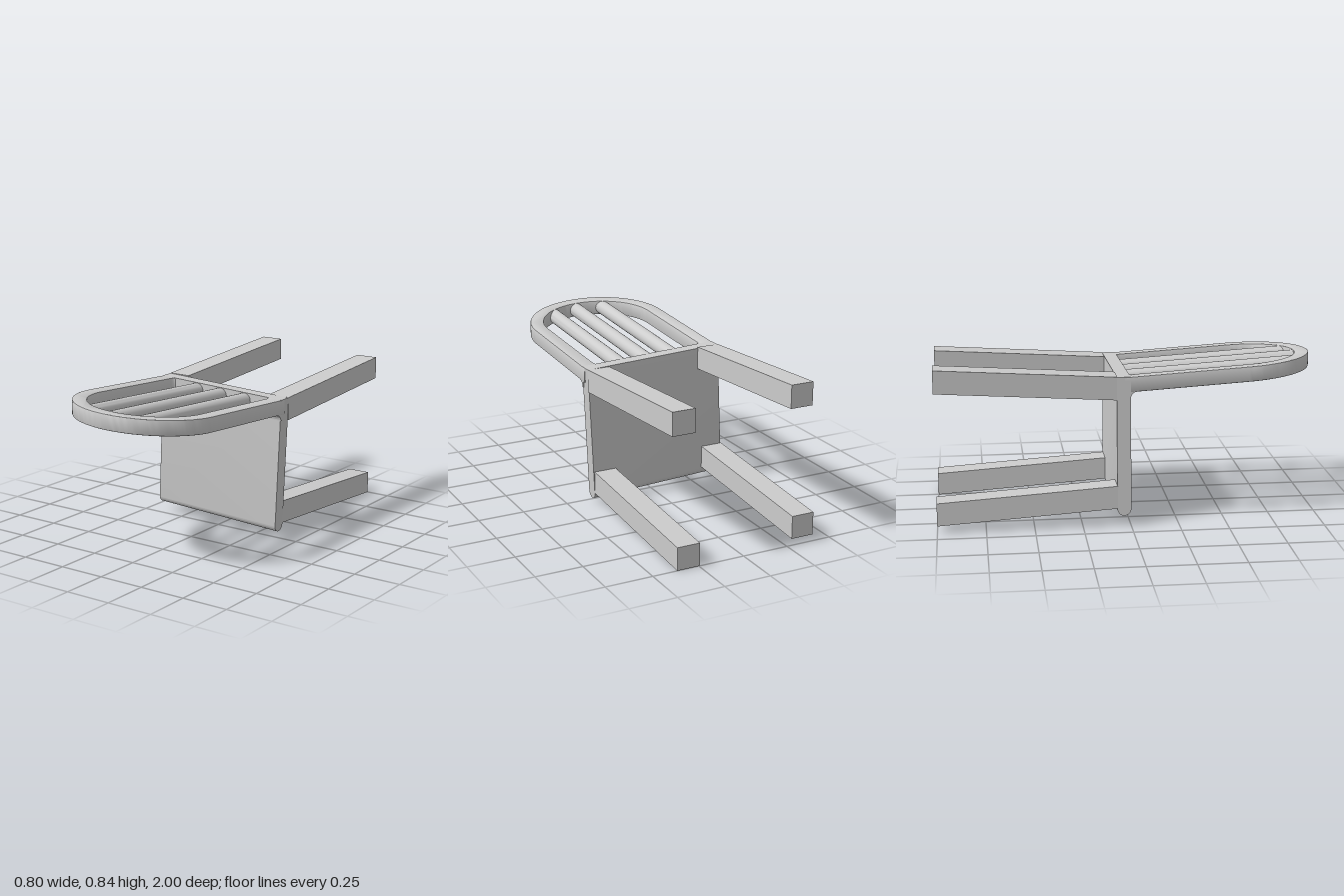
import * as THREE from 'three';
import { toCreasedNormals } from 'three/addons/utils/BufferGeometryUtils.js';

const material = new THREE.MeshStandardMaterial({ color: 0xcccccc });
const ROLL = -0.0455; // the whole chair leans slightly: y drops towards +x
const PITCH = 0.0625; // the backrest rises towards +z
const TOP = 0.7725;   // height of the seat's upper edge at x = 0
const CX = 0.015;     // middle of the backrest
const RAIL = 0.08;    // backrest thickness

// Move every vertex by a rule, then rebuild normals with sharp edges kept.
function bend(geometry, rule) {
  const p = geometry.attributes.position;
  const v = new THREE.Vector3();
  for (let i = 0; i < p.count; i++) {
    rule(v.fromBufferAttribute(p, i));
    p.setXYZ(i, v.x, v.y, v.z);
  }
  return toCreasedNormals(geometry, 0.6);
}

// Extrude a (z, y) profile along x, centred on x = 0.
function extrudeAcross(shape, width) {
  const g = new THREE.ExtrudeGeometry(shape, { depth: width, bevelEnabled: false, curveSegments: 12 });
  return g.translate(0, 0, -width / 2).rotateY(-Math.PI / 2);
}

const backrestTilt = (v) => { v.y += TOP + PITCH * v.z + ROLL * v.x; };

export function createModel() {
  const group = new THREE.Group();
  const add = (name, geometry) => {
    const mesh = new THREE.Mesh(geometry, material);
    mesh.name = name;
    group.add(mesh);
  };

  // Seat panel, standing upright, with a rounded lower edge
  const low = 0.0425, r = 0.036;
  const profile = new THREE.Shape();
  profile.moveTo(0, TOP);
  profile.lineTo(-2 * r, TOP);
  profile.lineTo(-2 * r, low + r);
  profile.absarc(-r, low + r, r, Math.PI, 2 * Math.PI, false);
  profile.closePath();
  add('seat', bend(extrudeAcross(profile, 0.768), (v) => {
    v.x += -0.0165 + 0.043 * (v.y - low);
    v.y += ROLL * v.x;
  }));

  // Backrest frame: a round-ended loop
  const outer = 0.385, inner = 0.31, arcZ = 0.613, c = 0.04;
  const loop = new THREE.Shape();
  loop.moveTo(CX - outer, -0.03);
  loop.lineTo(CX + outer, -0.03);
  loop.lineTo(CX + outer, arcZ);
  loop.absarc(CX, arcZ, outer, 0, Math.PI, false);
  loop.closePath();
  const hole = new THREE.Path();
  hole.moveTo(CX - inner + c, -0.01);
  hole.lineTo(CX + inner - c, -0.01);
  hole.quadraticCurveTo(CX + inner, -0.01, CX + inner, -0.01 + c);
  hole.lineTo(CX + inner, arcZ);
  hole.absarc(CX, arcZ, inner, 0, Math.PI, false);
  hole.lineTo(CX - inner, -0.01 + c);
  hole.quadraticCurveTo(CX - inner, -0.01, CX - inner + c, -0.01);
  loop.holes.push(hole);
  const bevel = 0.006;
  const frame = new THREE.ExtrudeGeometry(loop, {
    depth: RAIL - 2 * bevel, bevelThickness: bevel, bevelSize: bevel,
    bevelOffset: -bevel, bevelSegments: 2, curveSegments: 32,
  });
  frame.translate(0, 0, bevel).rotateX(Math.PI / 2);
  add('backFrame', bend(frame, backrestTilt));

  // Three round spindles inside the frame
  for (const offset of [-0.153, 0, 0.153]) {
    const end = arcZ + Math.sqrt(0.345 ** 2 - offset ** 2);
    const rod = new THREE.CylinderGeometry(0.038, 0.038, end + 0.03, 24);
    rod.rotateX(Math.PI / 2).translate(CX + offset, -RAIL / 2, (end - 0.03) / 2);
    add('spindle', bend(rod, backrestTilt));
  }

  // Small concave fillets where the side rails meet the seat
  const f = 0.032;
  for (const side of [-1, 1]) {
    const s = new THREE.Shape();
    s.moveTo(-0.01, 0.01 - RAIL);
    s.lineTo(-0.01, -RAIL - f);
    s.lineTo(0, -RAIL - f);
    s.absarc(f, -RAIL - f, f, Math.PI, Math.PI / 2, true);
    s.lineTo(f, 0.01 - RAIL);
    s.closePath();
    const g = extrudeAcross(s, outer - inner - 0.004);
    g.translate(CX + side * (outer + inner) / 2, 0, 0);
    add('railFillet', bend(g, backrestTilt));
  }

  // Square legs running backwards, splayed up and down: x, y at the seat, slope
  const front = -0.07, length = 0.93;
  for (const [name, x, y, slope] of [
    ['upperRightLeg', -0.308, 0.73, 0.061],
    ['upperLeftLeg', 0.338, 0.695, 0.061],
    ['lowerRightLeg', -0.338, 0.16, -0.066],
    ['lowerLeftLeg', 0.307, 0.125, -0.066],
  ]) {
    const leg = new THREE.BoxGeometry(0.123, 0.121, length);
    leg.translate(x, y, front - length / 2);
    add(name, bend(leg, (v) => { v.y += slope * (front - v.z); }));
  }
  return group;
}
